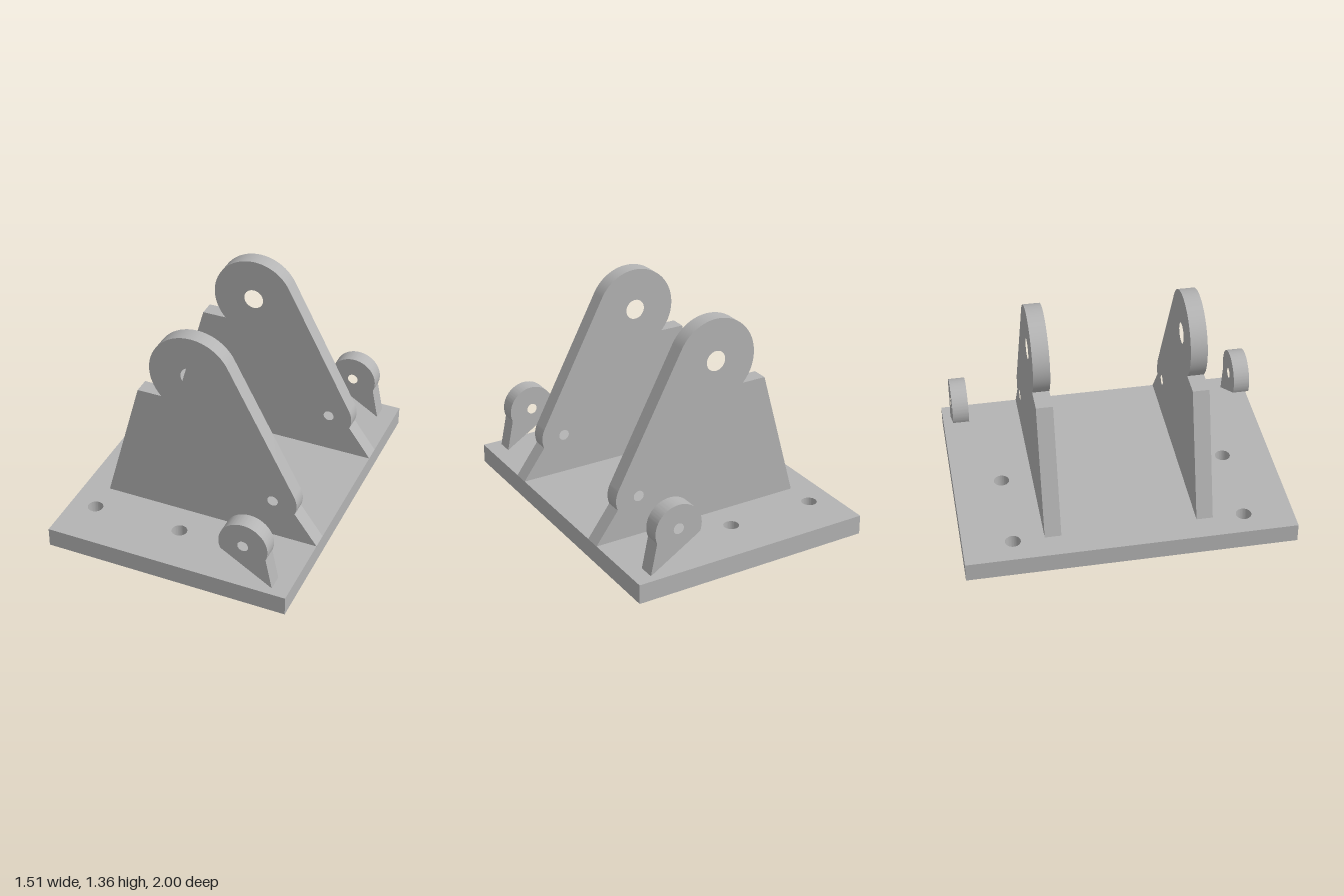
import * as THREE from 'three';
import { toCreasedNormals } from 'three/addons/utils/BufferGeometryUtils.js';

const BASE_TOP = 0.12, THICK = 0.1;
const MAIN = { x: -0.04, y: 1.1, r: 0.26, hole: 0.062 };
const PIN = { x: 0.475, y: 0.37, r: 0.15, hole: 0.033 };

function addHole(shape, x, y, r) {
  shape.holes.push(new THREE.Path().absarc(x, y, r, 0, Math.PI * 2, true));
}

function extrude(shape, depth) {
  const geo = new THREE.ExtrudeGeometry(shape, { depth, bevelEnabled: false, curveSegments: 40 });
  return toCreasedNormals(geo, 0.4);
}

// Base plate with four bolt holes
function baseGeometry() {
  const w = 0.757, s = new THREE.Shape();
  s.moveTo(-w, -1).lineTo(w, -1).lineTo(w, 1).lineTo(-w, 1).closePath();
  for (const x of [-0.6, -0.04]) for (const z of [-0.7, 0.7]) addHole(s, x, z, 0.047);
  return extrude(s, BASE_TOP).rotateX(-Math.PI / 2);
}

// Tall bracket: large eye joined to the small eye by their common tangent
function bracketGeometry() {
  const dx = PIN.x - MAIN.x, dy = PIN.y - MAIN.y;
  const tangent = Math.atan2(dy, dx) + Math.acos((MAIN.r - PIN.r) / Math.hypot(dx, dy));
  const ledge = 0.92;
  const start = Math.PI + Math.asin((MAIN.y - ledge) / MAIN.r);
  const s = new THREE.Shape();
  s.moveTo(-0.6, BASE_TOP).lineTo(-0.38, ledge);
  s.absarc(MAIN.x, MAIN.y, MAIN.r, start, tangent, true);
  s.absarc(PIN.x, PIN.y, PIN.r, tangent, -0.38, true);
  s.lineTo(0.757, BASE_TOP).closePath();
  for (const c of [MAIN, PIN]) addHole(s, c.x, c.y, c.hole);
  return extrude(s, THICK).translate(0, 0, -THICK / 2);
}

// Small outer lug with a flared foot
function lugGeometry() {
  const s = new THREE.Shape();
  s.moveTo(0.298, BASE_TOP);
  s.absarc(PIN.x, PIN.y, PIN.r, Math.PI + 0.38, -0.38, true);
  s.lineTo(0.655, BASE_TOP).closePath();
  addHole(s, PIN.x, PIN.y, PIN.hole);
  return extrude(s, THICK).translate(0, 0, -THICK / 2);
}

export function createModel() {
  const group = new THREE.Group();
  group.name = 'clevisBracket';
  const grey = new THREE.MeshStandardMaterial({ color: 0xb4b4b4 });
  grey.name = 'grey metal';

  const add = (name, geo, z = 0) => {
    const mesh = new THREE.Mesh(geo, grey);
    mesh.name = name;
    mesh.position.z = z;
    group.add(mesh);
  };

  add('basePlate', baseGeometry());
  const bracket = bracketGeometry(), lug = lugGeometry();
  for (const [side, sign] of [['front', 1], ['back', -1]]) {
    add(side + 'Bracket', bracket, sign * 0.46);
    add(side + 'Lug', lug, sign * 0.9);
  }
  return group;
}
